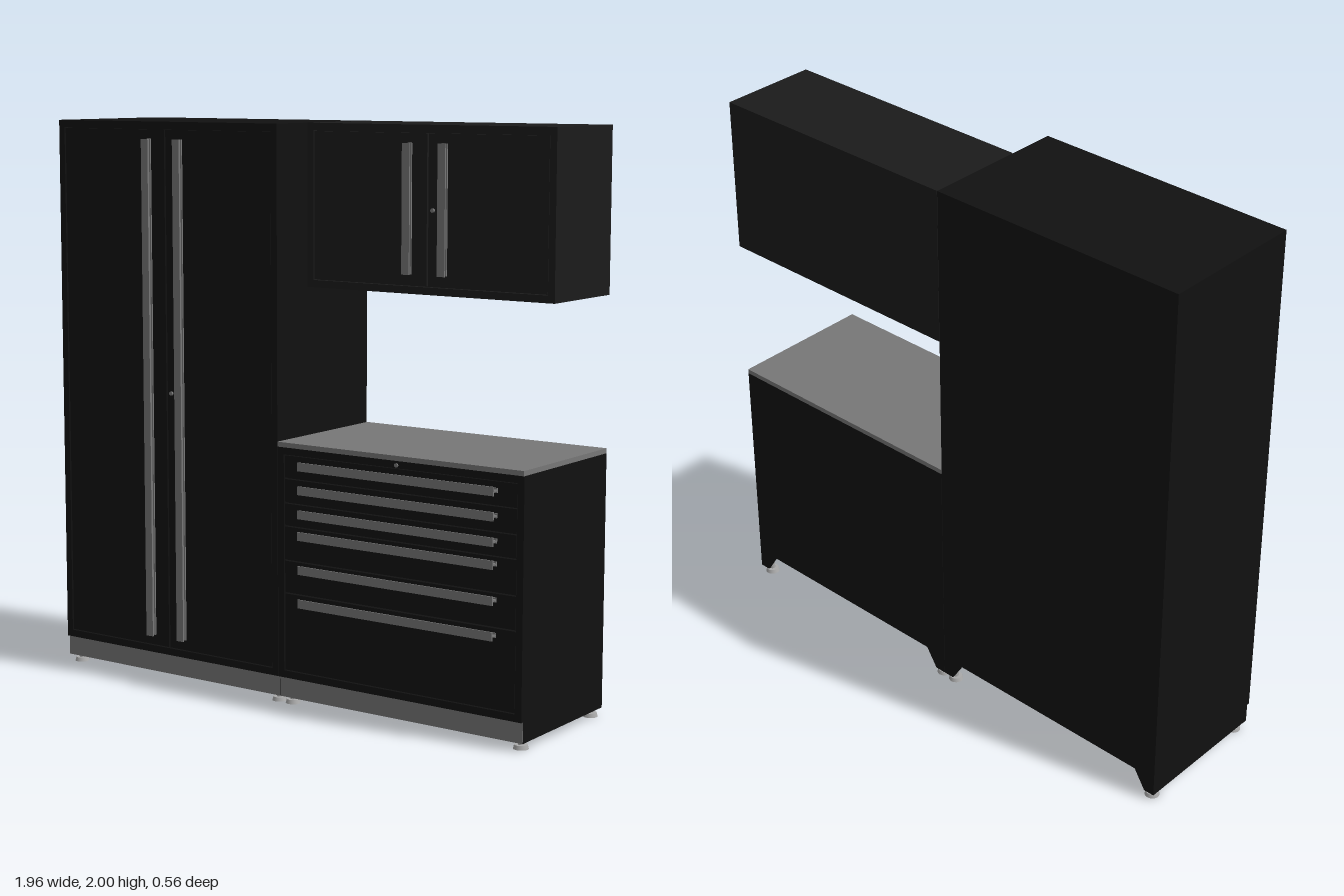
import * as THREE from 'three';

const mat = (color, side = THREE.FrontSide) => new THREE.MeshStandardMaterial({ color, side });
const black = mat(0x111111), charcoal = mat(0x1b1b1b), grey = mat(0x777777), steel = mat(0xaaaaaa);
const BACK = -0.28, FRONT = 0.255;

function add(parent, name, geometry, material) {
  const mesh = new THREE.Mesh(geometry, material);
  mesh.name = name;
  parent.add(mesh);
  return mesh;
}

// Box given by its minimum and maximum on each axis
function box(parent, name, material, x0, x1, y0, y1, z0, z1) {
  const g = new THREE.BoxGeometry(x1 - x0, y1 - y0, z1 - z0);
  g.translate((x0 + x1) / 2, (y0 + y1) / 2, (z0 + z1) / 2);
  return add(parent, name, g, material);
}

function extrude(shape, depth, z) {
  return new THREE.ExtrudeGeometry(shape, { depth, bevelEnabled: false }).translate(0, 0, z);
}

function rectPath(path, x0, x1, y0, y1) {
  path.moveTo(x0, y0);
  path.lineTo(x1, y0);
  path.lineTo(x1, y1);
  path.lineTo(x0, y1);
  path.closePath();
  return path;
}

// Closed carcass with a raised frame around the front opening
function carcass(parent, material, x0, x1, y0, y1, front, rim) {
  box(parent, 'carcass', material, x0, x1, y0, y1, BACK, front - 0.02);
  const frame = rectPath(new THREE.Shape(), x0, x1, y0, y1);
  frame.holes.push(rectPath(new THREE.Path(), x0 + rim, x1 - rim, y0 + rim, y1 - rim));
  add(parent, 'frontFrame', extrude(frame, 0.02, front - 0.02), material);
}

// T-section bar handle, centred at x, y
function handle(parent, x, y, front, length, horizontal) {
  const g = new THREE.Group();
  g.name = 'handle';
  box(g, 'handleFoot', grey, -0.008, 0.008, -length / 2, length / 2, -0.004, 0.002);
  box(g, 'handleStem', grey, -0.003, 0.003, -length / 2, length / 2, 0, 0.02);
  box(g, 'handleGrip', grey, -0.015, 0.015, -length / 2, length / 2, 0.02, 0.025);
  g.position.set(x, y, front);
  if (horizontal) g.rotation.z = Math.PI / 2;
  parent.add(g);
}

function lock(parent, x, y, front) {
  const g = new THREE.CylinderGeometry(0.007, 0.007, 0.01, 16).rotateX(Math.PI / 2);
  add(parent, 'lock', g, grey).position.set(x, y, front);
}

// Pair of doors with tall handles either side of the central gap
function doors(parent, material, x0, x1, y0, y1, front, rim, h0, h1, lockY) {
  const mid = (x0 + x1) / 2, gap = 0.003;
  const lo = y0 + rim + gap, hi = y1 - rim - gap;
  box(parent, 'rightDoor', material, x0 + rim + gap, mid - gap, lo, hi, front - 0.02, front - 0.003);
  box(parent, 'leftDoor', material, mid + gap, x1 - rim - gap, lo, hi, front - 0.02, front - 0.003);
  for (const s of [-1, 1]) handle(parent, mid + s * 0.07, (h0 + h1) / 2, front, h1 - h0, false);
  lock(parent, mid + 0.022, lockY, front);
}

// Plinth, side skirts, notched rear skirt and levelling feet
function base(parent, x0, x1) {
  const g = new THREE.Group();
  g.name = 'base';
  box(g, 'plinth', grey, x0, x1, 0.028, 0.1, 0.237, 0.245);
  box(g, 'rightSkirt', black, x0, x0 + 0.012, 0.028, 0.1, BACK, 0.2365);
  box(g, 'leftSkirt', black, x1 - 0.012, x1, 0.028, 0.1, BACK, 0.2365);
  box(g, 'rightSkirtEnd', black, x0 - 0.0005, x0, 0.028, 0.1, 0.23, 0.244);
  box(g, 'leftSkirtEnd', black, x1, x1 + 0.0005, 0.028, 0.1, 0.23, 0.244);
  for (const [x, s] of [[x0, 1], [x1, -1]]) {
    const tab = new THREE.Shape([[0, 0.1], [0, 0.028], [0.04, 0.028], [0.085, 0.1]]
      .map(([dx, y]) => new THREE.Vector2(x + s * dx, y)));
    add(g, 'rearSkirtTab', extrude(tab, 0.008, BACK), black);
    for (const z of [0.208, -0.25]) {
      const foot = new THREE.Group();
      foot.name = 'foot';
      add(foot, 'footPad', new THREE.CylinderGeometry(0.022, 0.026, 0.014, 24), steel).position.y = 0.007;
      add(foot, 'footStem', new THREE.CylinderGeometry(0.01, 0.01, 0.088, 16), steel).position.y = 0.056;
      foot.position.set(x + s * 0.028, 0, z);
      g.add(foot);
    }
  }
  parent.add(g);
}

export function createModel() {
  const model = new THREE.Group();
  model.name = 'storageCabinets';
  const unit = (name) => {
    const g = new THREE.Group();
    g.name = name;
    model.add(g);
    return g;
  };
  const L = 0.977, rim = 0.025;

  // Tall two-door cabinet
  const tall = unit('tallCabinet');
  carcass(tall, black, -L, -0.001, 0.1, 2, FRONT, rim);
  doors(tall, black, -L, -0.001, 0.1, 2, FRONT, rim, 0.165, 1.94, 1.05);
  base(tall, -L, -0.001);

  // Wall cabinet
  const wall = unit('wallCabinet');
  carcass(wall, charcoal, 0.001, L, 1.44, 2, 0.082, rim);
  doors(wall, charcoal, 0.001, L, 1.44, 2, 0.082, rim, 1.505, 1.94, 1.72);

  // Drawer chest with worktop
  const chest = unit('drawerChest');
  carcass(chest, black, 0.001, L, 0.1, 0.907, FRONT, rim);
  base(chest, 0.001, L);
  box(chest, 'worktop', grey, 0.001, L, 0.907, 0.924, BACK, 0.258);
  const tops = [0.882, 0.8, 0.715, 0.635, 0.515, 0.4, 0.125];
  const grips = [0.85, 0.768, 0.685, 0.61, 0.492, 0.375];
  grips.forEach((y, i) => {
    box(chest, 'drawer', black, rim + 0.004, L - rim - 0.003,
      tops[i + 1] + 0.003, tops[i] - 0.003, FRONT - 0.02, FRONT - 0.003);
    handle(chest, 0.489, y, FRONT, 0.776, true);
  });
  lock(chest, 0.489, 0.892, FRONT);

  return model;
}
